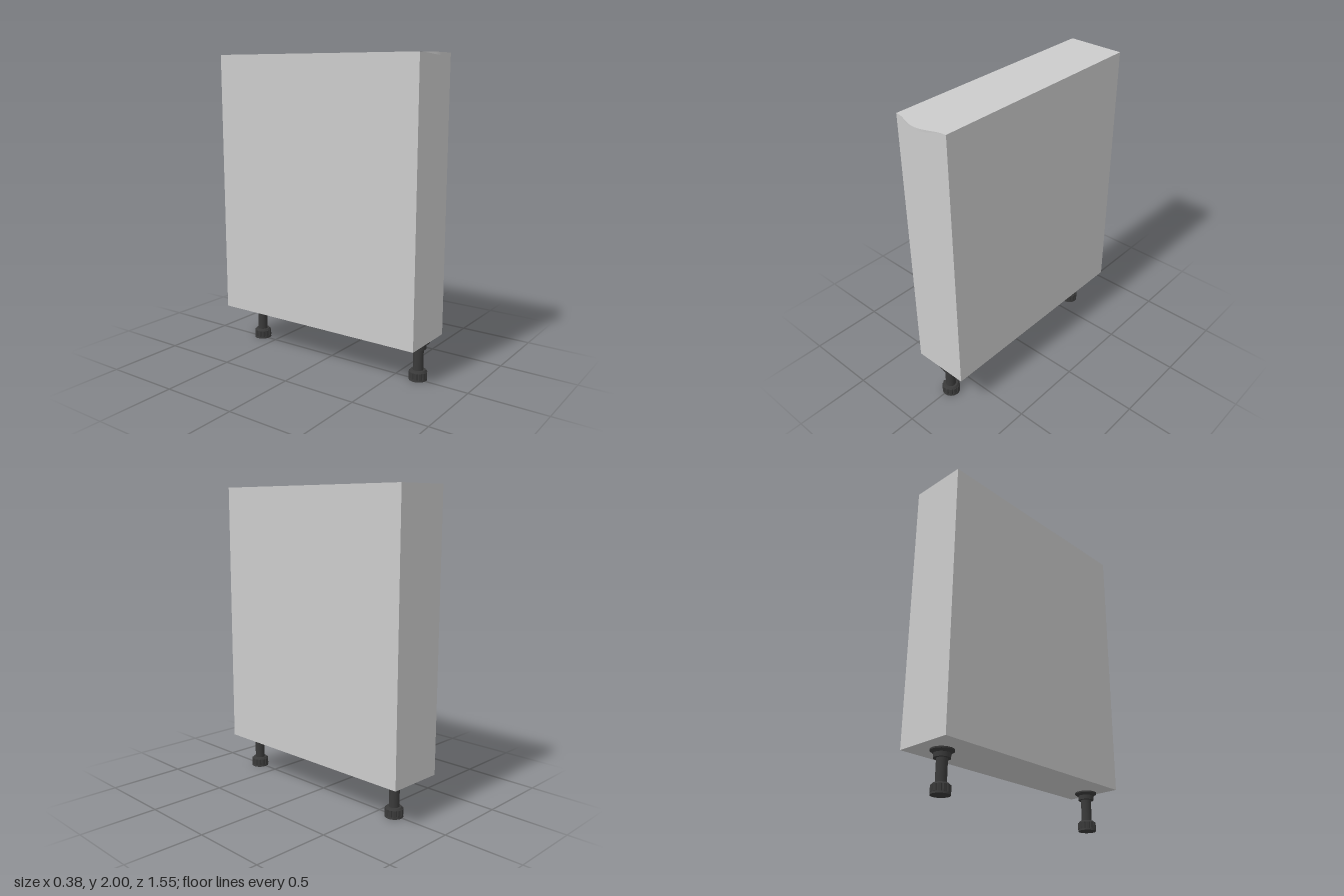
import * as THREE from 'three';

const grey = new THREE.MeshStandardMaterial({ color: 0xcccccc, side: THREE.DoubleSide });
const dark = new THREE.MeshStandardMaterial({ color: 0x3a3a3a, side: THREE.DoubleSide });
const FRONT = 0.725, BACK = -0.775, TOP = 2, BOTTOM = 0.255;

function part(name, geometry, material) {
  const mesh = new THREE.Mesh(geometry, material);
  mesh.name = name;
  return mesh;
}

// Bowed grip lip: cross-sections across the width, each a thin wedge
function lipGeometry() {
  const n = 32, pos = [], index = [];
  for (let i = 0; i <= n; i++) {
    const x = -0.188 + 0.376 * i / n;
    const t = Math.min(1, Math.abs(x) / 0.17);
    const bulge = 0.5 + 0.5 * Math.cos(Math.PI * t);
    const z = FRONT + 0.002 + 0.045 * Math.pow(bulge, 0.8);
    const drop = 0.002 + 0.017 * bulge;
    pos.push(x, TOP, FRONT, x, TOP, z, x, TOP - drop, z, x, TOP - 0.003, FRONT);
  }
  for (let i = 0; i < n; i++) {
    for (let k = 0; k < 4; k++) {
      const a = i * 4 + k, b = i * 4 + (k + 1) % 4;
      index.push(a, b, b + 4, a, b + 4, a + 4);
    }
  }
  const e = n * 4;
  index.push(0, 2, 1, 0, 3, 2, e, e + 1, e + 2, e, e + 2, e + 3);
  const g = new THREE.BufferGeometry();
  g.setAttribute('position', new THREE.Float32BufferAttribute(pos, 3));
  g.setIndex(index);
  const flat = g.toNonIndexed();
  flat.computeVertexNormals();
  return flat;
}

// Straight round section between two heights
function drum(name, rTop, rBottom, y0, y1) {
  const g = new THREE.CylinderGeometry(rTop, rBottom, y1 - y0, 32);
  g.translate(0, (y0 + y1) / 2, 0);
  return part(name, g, dark);
}

// Ribbed adjusting knob
function knobGeometry() {
  const shape = new THREE.Shape();
  const teeth = 12;
  for (let i = 0; i < teeth; i++) {
    [[0, 0.052], [0.2, 0.058], [0.7, 0.058], [0.9, 0.052]].forEach(([f, r]) => {
      const a = (i + f) / teeth * Math.PI * 2;
      const p = [r * Math.cos(a), r * Math.sin(a)];
      if (i === 0 && f === 0) shape.moveTo(...p);
      else shape.lineTo(...p);
    });
  }
  shape.closePath();
  const g = new THREE.ExtrudeGeometry(shape, { depth: 0.042, bevelEnabled: false });
  g.rotateX(-Math.PI / 2);
  g.translate(0, 0.012, 0);
  return g;
}

function leg(name, z) {
  const group = new THREE.Group();
  group.name = name;
  group.add(
    drum('mountingFlange', 0.07, 0.07, 0.246, BOTTOM),
    drum('flangeTaper', 0.066, 0.054, 0.233, 0.246),
    drum('collar', 0.05, 0.05, 0.205, 0.233),
    drum('shaft', 0.033, 0.033, 0.05, 0.205),
    drum('knobCap', 0.046, 0.054, 0.054, 0.065),
    part('ribbedKnob', knobGeometry(), dark),
    drum('footPad', 0.056, 0.058, 0, 0.012)
  );
  group.position.set(0.008, 0, z);
  return group;
}

export function createModel() {
  const model = new THREE.Group();
  model.name = 'narrowCabinet';

  // Cabinet body
  const body = part('cabinetBody', new THREE.BoxGeometry(0.376, TOP - BOTTOM, FRONT - BACK), grey);
  body.position.set(-0.002, (TOP + BOTTOM) / 2, (FRONT + BACK) / 2);

  const lip = part('gripLip', lipGeometry(), grey);
  lip.position.x = -0.002;

  model.add(body, lip, leg('frontLeg', 0.655), leg('backLeg', -0.622));
  return model;
}
